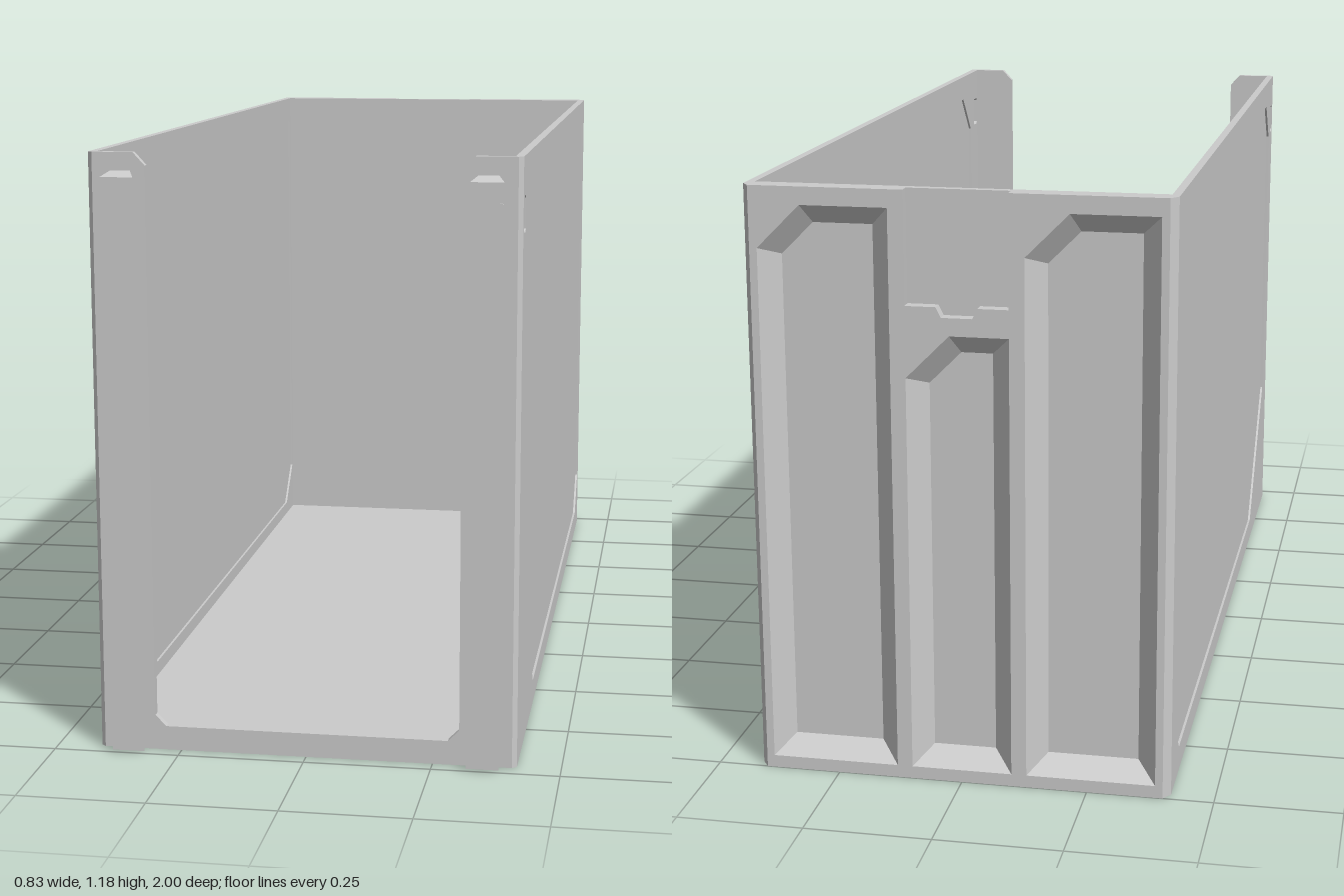
import * as THREE from 'three';

const W = 0.414, T = 0.016, H = 1.18, IN = W - T; // half width, wall, height, inner half width
const mat = new THREE.MeshStandardMaterial({ color: 0xcccccc, flatShading: true, side: THREE.DoubleSide });

const shapeOf = (pts, holes = []) => {
  const s = new THREE.Shape(pts.map(p => new THREE.Vector2(...p)));
  holes.forEach(h => s.holes.push(new THREE.Path(h.map(p => new THREE.Vector2(...p)))));
  return s;
};
const extrude = (shape, depth) => new THREE.ExtrudeGeometry(shape, { depth, bevelEnabled: false, curveSegments: 10 });
// prism standing on y = y0 with a plan outline given as [x, z]
const prism = (plan, h, y0 = 0) =>
  extrude(shapeOf(plan.map(([x, z]) => [x, -z])), h).rotateX(-Math.PI / 2).translate(0, y0, 0);

// shrink a counter-clockwise outline by d
function inset(pts, d) {
  const n = pts.length;
  const normal = (a, b) => {
    const l = Math.hypot(b[0] - a[0], b[1] - a[1]);
    return [-(b[1] - a[1]) / l, (b[0] - a[0]) / l];
  };
  return pts.map((p, i) => {
    const a = normal(pts[(i + n - 1) % n], p), b = normal(p, pts[(i + 1) % n]);
    const k = d / (1 + a[0] * b[0] + a[1] * b[1]);
    return [p[0] + (a[0] + b[0]) * k, p[1] + (a[1] + b[1]) * k];
  });
}

// tapered walls of a pocket sunk from z0 to z1
function pocketWalls(outer, inner, z0, z1, closed) {
  const v = [], n = outer.length;
  for (let i = 0; i < (closed ? n : n - 1); i++) {
    const j = (i + 1) % n;
    const a = [...outer[i], z0], b = [...outer[j], z0], c = [...inner[j], z1], d = [...inner[i], z1];
    v.push(...a, ...b, ...c, ...a, ...c, ...d);
  }
  const g = new THREE.BufferGeometry();
  g.setAttribute('position', new THREE.Float32BufferAttribute(v, 3));
  g.computeVertexNormals();
  return g;
}

export function createModel() {
  const root = new THREE.Group();
  const add = (name, geo, parent = root) => {
    const m = new THREE.Mesh(geo, mat);
    m.name = name;
    parent.add(m);
    return m;
  };

  // floor with chamfered corners
  add('floor', prism([[-0.405, 0.97], [0.405, 0.97], [W, 0.962], [W, -0.98], [0.4, -1], [-0.4, -1], [-W, -0.98], [-W, 0.962]], 0.02));

  // side walls: a frame with a grip slot, and a thinner panel set into it
  const panel = [[0.87, 1.03], [0.785, 1.12], [-0.95, 1.12], [-0.95, 0.14], [-0.865, 0.05], [0.585, 0.05], [0.87, 0.34]];
  const slot = [[0.915, 1.035], [0.94, 1.035], [0.946, 1.041], [0.946, 1.099], [0.94, 1.105], [0.915, 1.105], [0.909, 1.099], [0.909, 1.041]];
  const frame = [[-0.958, 0.02], [0.955, 0.02], [0.955, H], [-0.958, H]];
  for (const [side, s] of [['left', 1], ['right', -1]]) {
    const shift = s > 0 ? W : -IN;
    add(side + 'WallFrame', extrude(shapeOf(frame, [panel, slot]), T).rotateY(-Math.PI / 2).translate(shift, 0, 0));
    add(side + 'WallPanel', extrude(shapeOf(panel), T - 0.01).rotateY(-Math.PI / 2).translate(shift - 0.005, 0, 0));
    // chamfered corner posts
    const front = [[IN, 0.955], [W, 0.955], [W, 0.962], [0.405, 0.97], [IN, 0.97]];
    const back = [[IN, -0.958], [W, -0.958], [W, -0.98], [0.4, -1], [IN, -1]];
    add(side + 'FrontPost', prism(front.map(([x, z]) => [s * x, z]), H - 0.02, 0.02));
    add(side + 'BackPost', prism(back.map(([x, z]) => [s * x, z]), H - 0.02, 0.02));
  }

  // front border around the large opening
  const half = [[IN, 0.02], [IN, H], [0.325, H], [0.302, 1.155], [0.302, 0.07], [0.28, 0.048]];
  const border = [...half, ...half.map(([x, y]) => [-x, y]).reverse()];
  add('frontBorder', extrude(shapeOf(border), 0.015).translate(0, 0, 0.955));

  // front dovetail rails, narrower at the root, with a detent in the outer edge
  for (const s of [1, -1]) {
    const r = new THREE.Shape();
    r.moveTo(-0.032, 0.005);
    r.lineTo(0.032, 0.005);
    r.lineTo(0.032, 1.095);
    r.absarc(0.032, 1.11, 0.015, -Math.PI / 2, Math.PI / 2, true);
    r.lineTo(0.032, 1.145);
    r.lineTo(-0.032, 1.145);
    const g = extrude(r, 0.03), p = g.attributes.position;
    for (let i = 0; i < p.count; i++) {
      if (p.getZ(i) < 0.01) p.setX(i, p.getX(i) * 0.6);
      else if (p.getY(i) > 1.14) p.setY(i, 1.135);
    }
    if (s < 0) g.rotateY(Math.PI).scale(1, 1, -1);
    // restore the winding after mirroring
    if (s < 0) for (let i = 0; i < p.count; i += 3) {
      const a = new THREE.Vector3().fromBufferAttribute(p, i), b = new THREE.Vector3().fromBufferAttribute(p, i + 1);
      p.setXYZ(i, b.x, b.y, b.z);
      p.setXYZ(i + 1, a.x, a.y, a.z);
    }
    g.computeVertexNormals();
    add(s > 0 ? 'leftRail' : 'rightRail', g.translate(s * 0.35, 0, 0.97));
  }

  // back wall: skin with three pockets and a latch notch
  const back = new THREE.Group();
  back.name = 'backWall';
  root.add(back);
  const channel = (x0, x1, top) => [[x0, 0.025], [x1, 0.025], [x1, top - 0.085], [x1 - 0.085, top], [x0, top]];
  const channels = [channel(0.13, 0.385, 1.145), channel(-0.1, 0.1, 0.905), channel(-0.385, -0.13, 1.145)];
  const notch = [[-0.1, H], [-0.1, 0.96], [-0.04, 0.96], [-0.03, 0.94], [0.03, 0.94], [0.04, 0.96], [0.1, 0.96], [0.1, H]];
  const skin = [[-IN, 0.02], [IN, 0.02], [IN, H], ...[...notch].reverse(), [-IN, H]];
  add('backSkin', new THREE.ShapeGeometry(shapeOf(skin, channels)).translate(0, 0, -1), back);
  for (const c of channels) add('channelWalls', pocketWalls(c, inset(c, 0.038), -1, -0.965, true), back);
  add('latchNotchWalls', pocketWalls(notch, notch, -1, -0.975, false), back);
  add('latchNotchFloor', new THREE.ShapeGeometry(shapeOf(notch)).translate(0, 0, -0.975), back);
  add('backPlate', new THREE.BoxGeometry(2 * IN, H - 0.02, 0.007).translate(0, H / 2 + 0.01, -0.9615), back);
  const rim = [[-IN, 0.965], [IN, 0.965], [IN, 1], [0.1, 1], [0.1, 0.975], [-0.1, 0.975], [-0.1, 1], [-IN, 1]];
  add('backRim', new THREE.ShapeGeometry(shapeOf(rim)).rotateX(-Math.PI / 2).translate(0, H, 0), back);

  return root;
}
